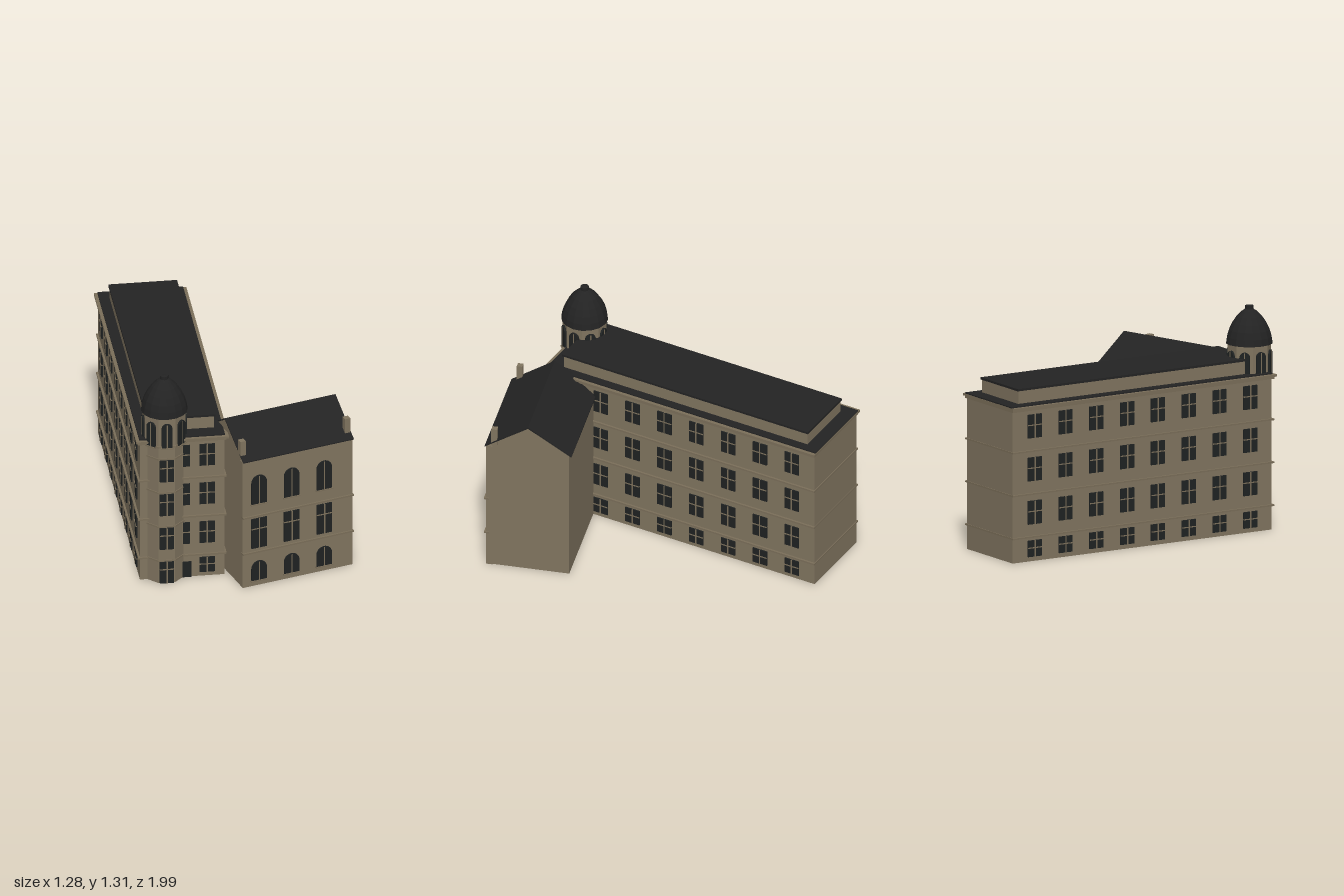
import * as THREE from 'three';

const mat = (name, color) => Object.assign(new THREE.MeshStandardMaterial({ color }), { name });

export function createModel() {
  const wall = mat('stone wall', 0x80745f);
  const trim = mat('stone trim', 0x7a6e59);
  const roof = mat('dark roof', 0x232323);
  const glass = mat('dark glass', 0x1f2222);

  const root = new THREE.Group();
  root.name = 'building';

  const add = (parent, name, geo, m, x = 0, y = 0, z = 0) => {
    const mesh = new THREE.Mesh(geo, m);
    mesh.name = name;
    mesh.position.set(x, y, z);
    parent.add(mesh);
    return mesh;
  };
  // box given by its limits on each axis
  const box = (parent, name, m, x0, x1, y0, y1, z0, z1) =>
    add(parent, name, new THREE.BoxGeometry(x1 - x0, y1 - y0, z1 - z0), m,
      (x0 + x1) / 2, (y0 + y1) / 2, (z0 + z1) / 2);
  const faceted = (geo) => {
    const g = geo.toNonIndexed();
    g.computeVertexNormals();
    return g;
  };
  const group = (parent, name, x = 0, y = 0, z = 0, turn = 0) => {
    const g = new THREE.Group();
    g.name = name;
    g.position.set(x, y, z);
    g.rotation.y = turn;
    parent.add(g);
    return g;
  };
  // (z, y) profile swept along x
  const sweep = (pts, x0, x1) =>
    new THREE.ExtrudeGeometry(new THREE.Shape(pts.map(([z, y]) => new THREE.Vector2(z, y))),
      { depth: x1 - x0, bevelEnabled: false }).rotateY(-Math.PI / 2).translate(x1, 0, 0);

  // rectangular window: glass plate with mullion and transom, base at y = 0
  function rectWindow(parent, x, y, z, turn, w, h, split = 0.55) {
    const g = group(parent, 'window', x, y, z, turn);
    box(g, 'glass', glass, -w / 2, w / 2, 0, h, 0, 0.008);
    box(g, 'mullion', trim, -0.004, 0.004, 0, h, 0, 0.011);
    box(g, 'transom', trim, -w / 2, w / 2, h * split - 0.003, h * split + 0.003, 0, 0.011);
  }
  // round-headed window with mullion and sill
  function archWindow(parent, x, y, z, turn, w, h, depth = 0.008) {
    const g = group(parent, 'archedWindow', x, y, z, turn);
    const r = w / 2, s = new THREE.Shape();
    s.moveTo(-r, 0);
    s.lineTo(r, 0);
    s.lineTo(r, h - r);
    s.absarc(0, h - r, r, 0, Math.PI, false);
    s.closePath();
    add(g, 'glass', new THREE.ExtrudeGeometry(s, { depth, bevelEnabled: false, curveSegments: 8 }), glass);
    box(g, 'mullion', trim, -0.003, 0.003, 0, h - 0.004, 0, depth + 0.002);
    box(g, 'sill', trim, -r - 0.005, r + 0.005, -0.007, 0, 0, depth + 0.005);
  }

  // ---- Long main block ----
  const main = group(root, 'mainBlock');
  const X0 = -0.617, X1 = -0.122, Z0 = -0.985, Z1 = 0.8;
  box(main, 'walls', wall, X0, X1, 0, 0.92, Z0, Z1);
  const band = (name, y0, y1, out, back = 0) =>
    box(main, name, trim, X0 - out, X1 + out, y0, y1, Z0 - back, Z1 + out);
  for (const y of [0.145, 0.4, 0.655]) band('stringCourse', y - 0.005, y + 0.005, 0.012, 0.004);
  band('lowerCornice', 0.896, 0.908, 0.012, 0.006);
  band('upperCornice', 0.91, 0.923, 0.024, 0.012);
  box(main, 'lowerRoof', roof, X0 - 0.004, X1 + 0.004, 0.922, 0.93, Z0 - 0.01, Z1 + 0.004);
  box(main, 'attic', wall, -0.56, -0.17, 0.92, 1.008, -0.91, 0.715);
  box(main, 'atticRoof', roof, -0.567, -0.164, 1.006, 1.019, -0.917, 0.722);

  // four rows of windows on both long sides and the front
  const rows = [[0.027, 0.097], [0.22, 0.14], [0.477, 0.14], [0.732, 0.14]];
  rows.forEach(([y, h], floor) => {
    for (let i = 0; i < 8; i++) {
      const z = -0.836 + i * 0.2125;
      rectWindow(main, X0, y, z, -Math.PI / 2, 0.094, h);
      if (i < 7) rectWindow(main, X1, y, z, Math.PI / 2, 0.094, h);
    }
    rectWindow(main, -0.223, y, Z1, 0, 0.092, h);
    if (floor > 0) rectWindow(main, -0.37, y, Z1, 0, 0.092, h);
  });
  box(main, 'door', glass, -0.4, -0.315, 0, 0.1, Z1, Z1 + 0.008);

  // ---- Corner tower: octagonal shaft, arched belvedere, dome ----
  const tower = group(root, 'tower', -0.467, 0, 0.743);
  const octagon = (name, m, apothem, y0, y1) => {
    const r = apothem / Math.cos(Math.PI / 8);
    add(tower, name, faceted(new THREE.CylinderGeometry(r, r, y1 - y0, 8, 1, false, Math.PI / 8)),
      m, 0, (y0 + y1) / 2, 0);
  };
  octagon('shaft', wall, 0.115, 0, 0.92);
  for (const y of [0.147, 0.372, 0.597, 0.819]) octagon('towerBand', trim, 0.12, y - 0.005, y + 0.005);
  octagon('towerCornice', trim, 0.124, 0.896, 0.908);
  octagon('belvedere', wall, 0.119, 0.9, 1.09);
  for (const y of [0, 0.223, 0.446, 0.67]) rectWindow(tower, 0, y, 0.115, 0, 0.084, 0.141, 0.65);
  for (let i = 0; i < 8; i++) {
    const a = i * Math.PI / 4;
    archWindow(tower, Math.sin(a) * 0.119, 0.9, Math.cos(a) * 0.119, a, 0.062, 0.155, 0.012);
  }
  const domeProfile = [[0, 1.088], [0.137, 1.09], [0.131, 1.13], [0.119, 1.17], [0.1, 1.21],
    [0.073, 1.25], [0.042, 1.28], [0.024, 1.292], [0.024, 1.312], [0, 1.314]];
  add(tower, 'dome', faceted(new THREE.LatheGeometry(
    domeProfile.map(([r, y]) => new THREE.Vector2(r, y)), 16)), roof);

  // ---- Angled gabled wing ----
  const wing = group(root, 'wing', 0.2275, 0, 0.64, 0.29);
  const F = 0.253;
  add(wing, 'gabledWalls', sweep([[-0.243, 0], [F - 0.01, 0], [F - 0.01, 0.83], [0, 0.993], [-0.243, 0.83]],
    -0.352, 0.34), wall);
  box(wing, 'frontFacade', wall, -0.354, 0.346, 0, 0.83, F - 0.04, F);
  add(wing, 'gableRoof', sweep([[0.2585, 0.827], [0.2585, 0.833], [0, 1], [-0.2585, 0.833],
    [-0.2585, 0.827], [0, 0.99]], -0.353, 0.353), roof);
  for (const y of [0.223, 0.461]) box(wing, 'wingBand', trim, -0.355, 0.353, y - 0.005, y + 0.005, F - 0.02, F + 0.01);
  for (const x of [-0.251, -0.043, 0.165]) {
    archWindow(wing, x, 0.037, F, 0, 0.097, 0.125);
    rectWindow(wing, x, 0.25, F, 0, 0.098, 0.194, 0.66);
    archWindow(wing, x, 0.542, F, 0, 0.097, 0.187);
  }
  for (const x of [-0.336, 0.331]) box(wing, 'chimney', wall, x - 0.017, x + 0.017, 0.84, 0.951, 0.186, 0.22);

  return root;
}
